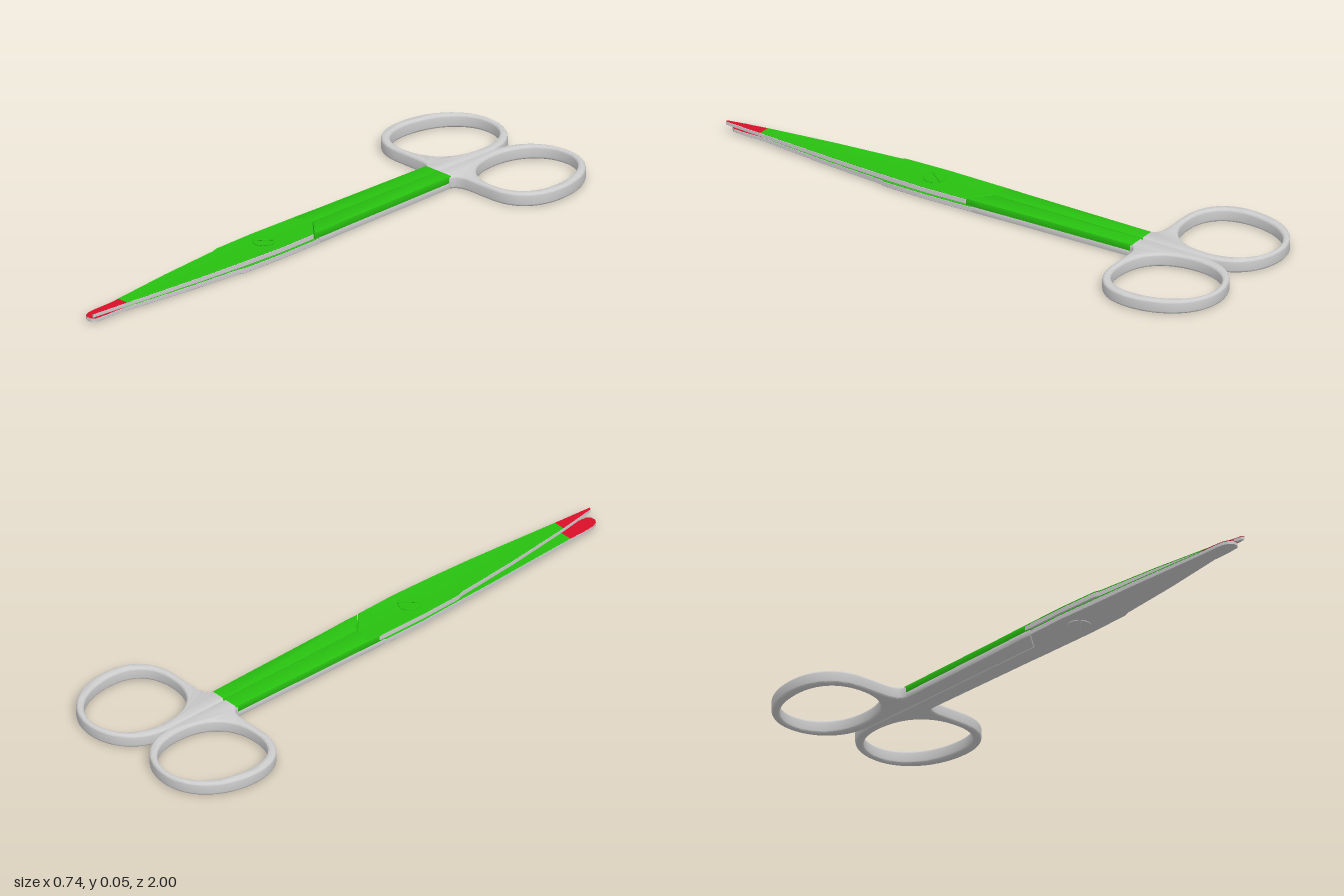
import * as THREE from 'three';
import { toCreasedNormals } from 'three/addons/utils/BufferGeometryUtils.js';

const GREY = 0xcccccc, GREEN = 0x28c010, RED = 0xd81028;
const material = (color) => new THREE.MeshStandardMaterial({ color });

// Plan outline from [x, z] points; s = -1 mirrors it across x
const outline = (points, s = 1) => new THREE.Shape(points.map(([x, z]) => new THREE.Vector2(s * x, z)));

// Flat plate standing between y0 and y1, with chamfered or rounded rims
function plate(name, shape, y0, y1, color, bevel, steps = 1, warp = null) {
  let g = new THREE.ExtrudeGeometry(shape, {
    depth: y1 - y0 - 2 * bevel, curveSegments: 20,
    bevelThickness: bevel, bevelSize: bevel, bevelOffset: -bevel, bevelSegments: steps,
  });
  g.rotateX(Math.PI / 2);
  g.translate(0, y1 - bevel, 0);
  if (warp) {
    const p = g.attributes.position;
    for (let i = 0; i < p.count; i++) p.setY(i, warp(p.getY(i), p.getZ(i)));
  }
  g = toCreasedNormals(g, 0.6);
  const mesh = new THREE.Mesh(g, material(color));
  mesh.name = name;
  return mesh;
}

// Finger ring flowing into the shank; the hole runs opposite to the rim
function ringShape(s) {
  const shape = new THREE.Shape();
  const curve = (path, a, b, c, d, e, f) => path.bezierCurveTo(s * a, b, s * c, d, s * e, f);
  shape.moveTo(s * 0.001, -0.575);
  shape.lineTo(s * 0.058, -0.575);
  curve(shape, 0.06, -0.595, 0.08, -0.604, 0.11, -0.606);
  shape.lineTo(s * 0.21, -0.606);
  curve(shape, 0.32, -0.606, 0.37, -0.68, 0.37, -0.77);
  curve(shape, 0.37, -0.9, 0.29, -1, 0.18, -1);
  curve(shape, 0.09, -1, 0.008, -0.94, 0.001, -0.83);
  shape.closePath();
  const hole = new THREE.Path();
  hole.moveTo(s * 0.18, -0.98);
  curve(hole, 0.27, -0.98, 0.338, -0.89, 0.338, -0.77);
  curve(hole, 0.338, -0.68, 0.29, -0.63, 0.2, -0.63);
  curve(hole, 0.09, -0.63, 0.033, -0.7, 0.033, -0.81);
  curve(hole, 0.033, -0.91, 0.09, -0.98, 0.18, -0.98);
  shape.holes.push(hole);
  return shape;
}

const shank = [
  [0.001, -0.585], [0.057, -0.585], [0.06, -0.4], [0.065, -0.1],
  [0.068, 0.0], [0.067, 0.046], [0.001, -0.014],
];

// Blade plan: back edge towards +x, cutting edge towards -x
const heel = [[-0.064, -0.03], [-0.004, -0.014], [0.002, -0.01], [0.069, 0.051], [0.072, 0.2], [0.066, 0.36]];
const edge = [[-0.04, 0.62], [-0.06, 0.38], [-0.067, 0.36], [-0.071, 0.2], [-0.068, 0.03]];
const sharp = {
  back: [[0.057, 0.52], [0.046, 0.66]],
  root: [[0.029, 0.86], [-0.012, 0.86]],
  tip: [[0.022, 0.95], [0.018, 1], [0.01, 0.995], [0.001, 0.94]],
};
const blunt = {
  back: [[0.061, 0.52], [0.054, 0.66]],
  root: [[0.045, 0.86], [-0.012, 0.86]],
  tip: [[0.044, 0.93], [0.041, 0.96], [0.033, 0.98], [0.018, 0.99], [0.002, 0.988], [-0.009, 0.975], [-0.012, 0.94]],
};

// One blade: grey core, green top face and red top at the tip
function blade(name, s, y0, y1, { back, root, tip }) {
  const group = new THREE.Group();
  group.name = name;
  const mid = (y0 + y1) / 2;
  const thin = (y, z) => mid + (y - mid) * (1 - 0.5 * Math.max(0, z - 0.36));
  const [r, l] = root;
  const body = [...heel, ...back, r, l, ...edge];
  const whole = [...heel, ...back, r, ...tip, l, ...edge];
  const split = y1 - 0.003;
  group.add(
    plate(name + 'Core', outline(whole, s), y0, split, GREY, 0.002, 1, thin),
    plate(name + 'TopFace', outline(body, s), split - 0.002, y1, GREEN, 0.002, 1, thin),
    plate(name + 'TipFace', outline([[l[0], 0.857], [r[0], 0.857], ...tip], s), split - 0.002, y1, RED, 0.002, 1, thin),
  );
  return group;
}

// Pivot screw with a slotted head on both faces
function screw() {
  const group = new THREE.Group();
  group.name = 'pivotScrew';
  const pin = new THREE.Mesh(new THREE.CylinderGeometry(0.038, 0.038, 0.043, 32), material(GREY));
  pin.name = 'screwPin';
  pin.position.y = 0.0255;
  group.add(pin);
  const a = 0.1;
  for (const [y0, y1, color] of [[0.0475, 0.0515, GREEN], [0, 0.004, GREY]]) {
    for (const turn of [0, Math.PI]) {
      const half = new THREE.Shape();
      half.absarc(0, 0, 0.038, turn + a, turn + Math.PI - a, false);
      half.closePath();
      const head = plate('screwHeadHalf', half, y0, y1, color, 0.001);
      head.rotation.y = 0.9;
      group.add(head);
    }
  }
  group.position.z = 0.21;
  return group;
}

export function createModel() {
  const model = new THREE.Group();
  model.name = 'scissors';
  for (const s of [1, -1]) {
    const side = s > 0 ? 'left' : 'right';
    model.add(
      plate(side + 'FingerRing', ringShape(s), 0.002, 0.048, GREY, 0.009, 4),
      plate(side + 'ShankTop', outline(shank, s), 0.022, 0.048, GREEN, 0.003, 2),
      plate(side + 'ShankBase', outline(shank, s), 0.003, 0.026, GREY, 0.003, 2),
    );
  }
  model.add(
    blade('upperBlade', 1, 0.0265, 0.048, sharp),
    blade('lowerBlade', -1, 0.003, 0.0245, blunt),
    screw(),
  );
  return model;
}
